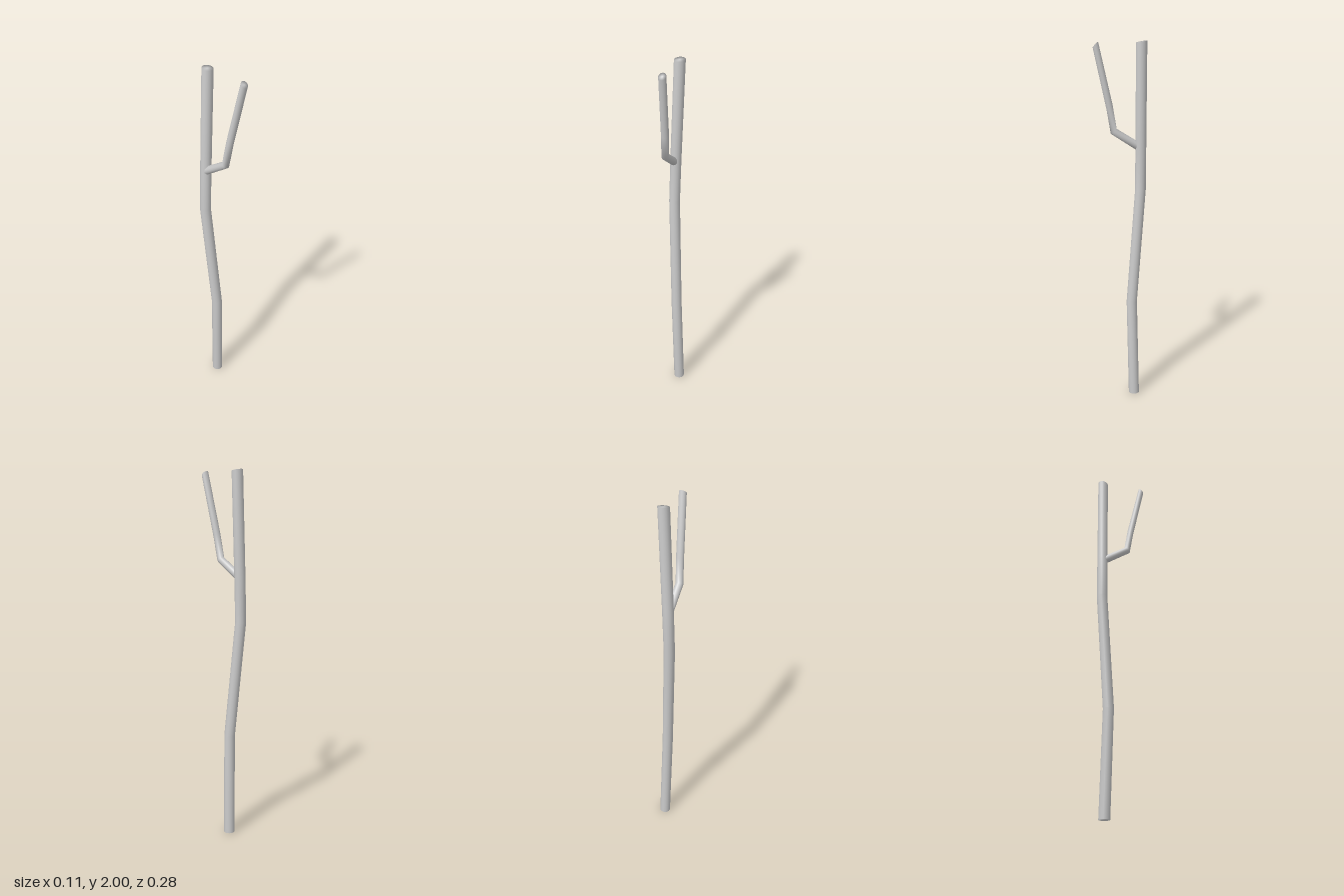
import * as THREE from 'three';

const SIDES = 16;

// Smooth closed limb swept through rings: { at: centre, up: ring normal, r: radius }
function limb(name, rings) {
  const pos = [], index = [];
  for (const { at, up, r } of rings) {
    const n = new THREE.Vector3(...up).normalize();
    const u = new THREE.Vector3(1, 0, 0).addScaledVector(n, -n.x).normalize();
    const v = new THREE.Vector3().crossVectors(n, u);
    for (let i = 0; i < SIDES; i++) {
      const a = (i / SIDES) * Math.PI * 2;
      const p = new THREE.Vector3(...at)
        .addScaledVector(u, r * Math.cos(a))
        .addScaledVector(v, r * Math.sin(a));
      pos.push(p.x, p.y, p.z);
    }
  }
  const last = (rings.length - 1) * SIDES;
  const bottom = pos.length / 3, top = bottom + 1;
  pos.push(...rings[0].at, ...rings[rings.length - 1].at);

  for (let i = 0; i < SIDES; i++) {
    const j = (i + 1) % SIDES;
    // side strips
    for (let k = 0; k < last; k += SIDES) {
      const a = k + i, b = k + j, c = a + SIDES, d = b + SIDES;
      index.push(a, b, c, b, d, c);
    }
    // end caps share the rim, so the shading rolls over the edge
    index.push(bottom, j, i, top, last + i, last + j);
  }
  const geo = new THREE.BufferGeometry();
  geo.setAttribute('position', new THREE.Float32BufferAttribute(pos, 3));
  geo.setIndex(index);
  geo.computeVertexNormals();
  const mesh = new THREE.Mesh(geo, new THREE.MeshStandardMaterial({ color: 0xcccccc }));
  mesh.name = name;
  return mesh;
}

export function createModel() {
  const model = new THREE.Group();
  model.name = 'forkedStick';

  // Long crooked main stem
  model.add(limb('mainStem', [
    { at: [0.022, 0, -0.077], up: [0, 1, 0], r: 0.03 },
    { at: [0.007, 0.57, -0.064], up: [-0.04, 1, -0.03], r: 0.0295 },
    { at: [-0.025, 1.21, -0.113], up: [-0.01, 1, -0.04], r: 0.0295 },
    { at: [-0.018, 1.45, -0.112], up: [0.03, 1, 0], r: 0.0295 },
    { at: [0.002, 1.994, -0.109], up: [0, 1, 0.18], r: 0.0295 },
  ]));

  // Thin side twig: short outward run, elbow, then upward; its rings stay tilted
  model.add(limb('sideTwig', [
    { at: [-0.023, 1.449, -0.1], up: [0, 0.5, 0.8], r: 0.0215 },
    { at: [-0.022, 1.534, 0.033], up: [0, 0.77, 0.64], r: 0.0205 },
    { at: [-0.015, 1.66, 0.055], up: [0.02, 0.78, 0.62], r: 0.0205 },
    { at: [0.001, 1.98, 0.128], up: [0, 0.71, 0.71], r: 0.02 },
  ]));

  return model;
}
